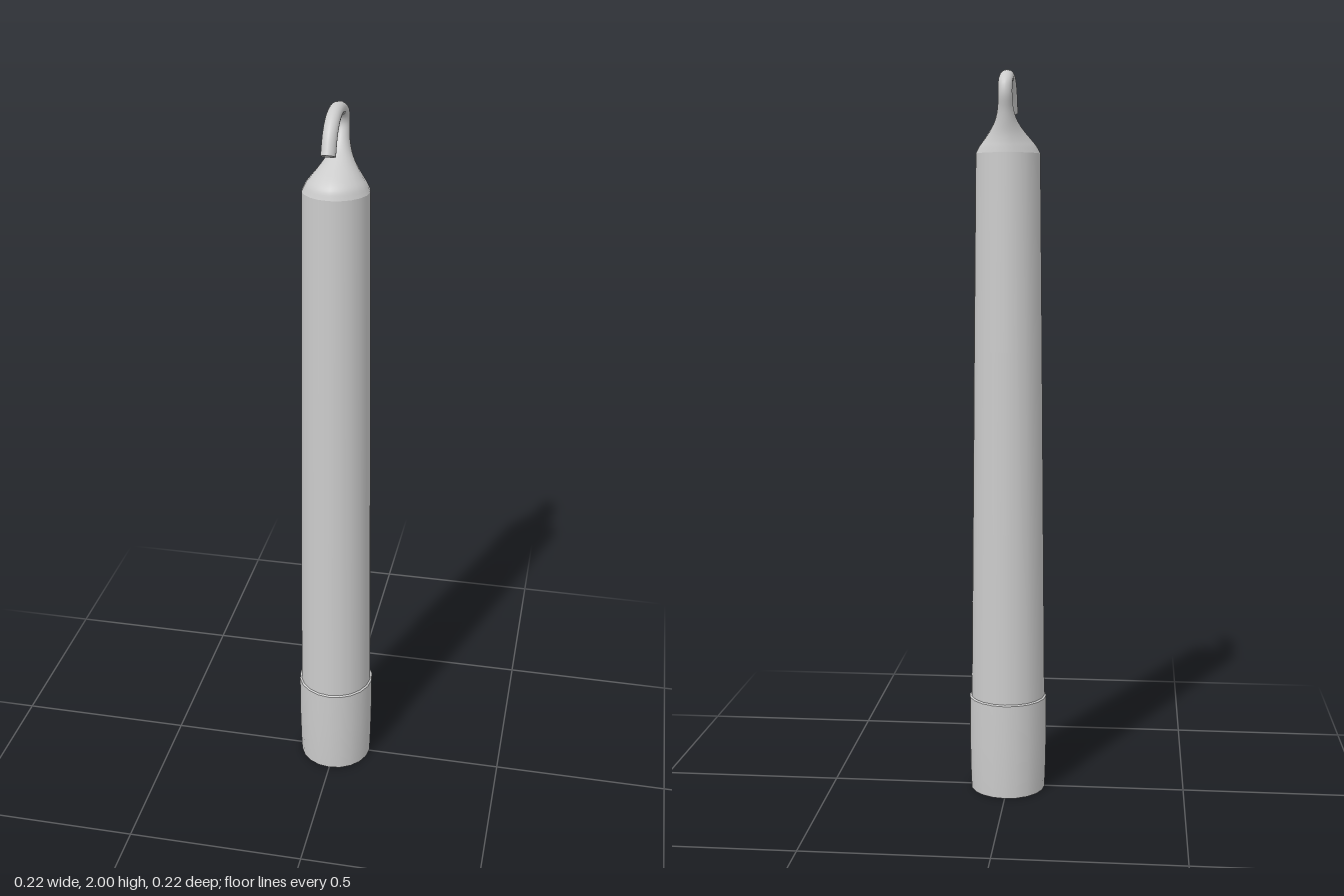
import * as THREE from 'three';

const SIDES = 20;
const CENTRE_Z = -0.003;
const wax = new THREE.MeshStandardMaterial({ color: 0xcccccc });

function addMesh(group, name, geometry) {
  const mesh = new THREE.Mesh(geometry, wax);
  mesh.name = name;
  group.add(mesh);
  return mesh;
}

function lathe(group, name, points) {
  const profile = points.map(([r, y]) => new THREE.Vector2(r, y));
  const mesh = addMesh(group, name, new THREE.LatheGeometry(profile, SIDES));
  mesh.position.z = CENTRE_Z;
}

// Loft through elliptical sections, each given by its front point,
// back point (z, y) and half width in x.
function loftGeometry(sections, steps) {
  const front = new THREE.CatmullRomCurve3(sections.map(([zf, yf, , , w]) => new THREE.Vector3(w, yf, zf)));
  const back = new THREE.CatmullRomCurve3(sections.map(([, , zb, yb, w]) => new THREE.Vector3(w, yb, zb)));
  const positions = [];
  const indices = [];
  for (let i = 0; i <= steps; i++) {
    const f = front.getPoint(i / steps);
    const b = back.getPoint(i / steps);
    for (let j = 0; j < SIDES; j++) {
      const a = (j / SIDES) * Math.PI * 2;
      const k = (1 + Math.cos(a)) / 2;
      positions.push(f.x * Math.sin(a), f.y + (b.y - f.y) * k, f.z + (b.z - f.z) * k);
    }
  }
  for (let i = 0; i < steps; i++) {
    for (let j = 0; j < SIDES; j++) {
      const p = i * SIDES + j;
      const q = i * SIDES + ((j + 1) % SIDES);
      indices.push(p, p + SIDES, q, q, p + SIDES, q + SIDES);
    }
  }
  // flat end cap with its own vertices
  const last = positions.slice(-SIDES * 3);
  const start = positions.length / 3;
  positions.push(...last);
  for (let j = 1; j < SIDES - 1; j++) indices.push(start, start + j + 1, start + j);

  const geometry = new THREE.BufferGeometry();
  geometry.setAttribute('position', new THREE.Float32BufferAttribute(positions, 3));
  geometry.setIndex(indices);
  geometry.computeVertexNormals();
  return geometry;
}

export function createModel() {
  const group = new THREE.Group();
  group.name = 'candle';

  // Foot of the candle with a slightly thicker band
  lathe(group, 'base', [[0, 0], [0.105, 0]]);
  lathe(group, 'baseBand', [[0.105, 0], [0.107, 0.05], [0.109, 0.15], [0.109, 0.268]]);
  lathe(group, 'bandShelf', [[0.109, 0.268], [0.104, 0.271]]);

  // Long tapering shaft
  lathe(group, 'shaft', [[0.104, 0.268], [0.099, 0.75], [0.094, 1.25], [0.088, 1.78]]);

  // Wax shoulder drawn up into the curled wick
  const sections = [
    [0.085, 1.78, -0.091, 1.78, 0.088],
    [0.077, 1.803, -0.09, 1.795, 0.078],
    [0.056, 1.823, -0.089, 1.81, 0.064],
    [0.005, 1.852, -0.089, 1.832, 0.043],
    [-0.03, 1.874, -0.092, 1.858, 0.029],
    [-0.054, 1.902, -0.097, 1.89, 0.021],
    [-0.068, 1.932, -0.106, 1.932, 0.019],
    [-0.062, 1.953, -0.097, 1.968, 0.019],
    [-0.04, 1.963, -0.058, 1.992, 0.019],
    [-0.004, 1.965, -0.008, 2.0, 0.019],
    [0.032, 1.954, 0.046, 1.988, 0.019],
    [0.058, 1.928, 0.086, 1.954, 0.019],
    [0.076, 1.887, 0.113, 1.903, 0.019],
  ];
  addMesh(group, 'shoulderAndWick', loftGeometry(sections, 48));

  return group;
}
